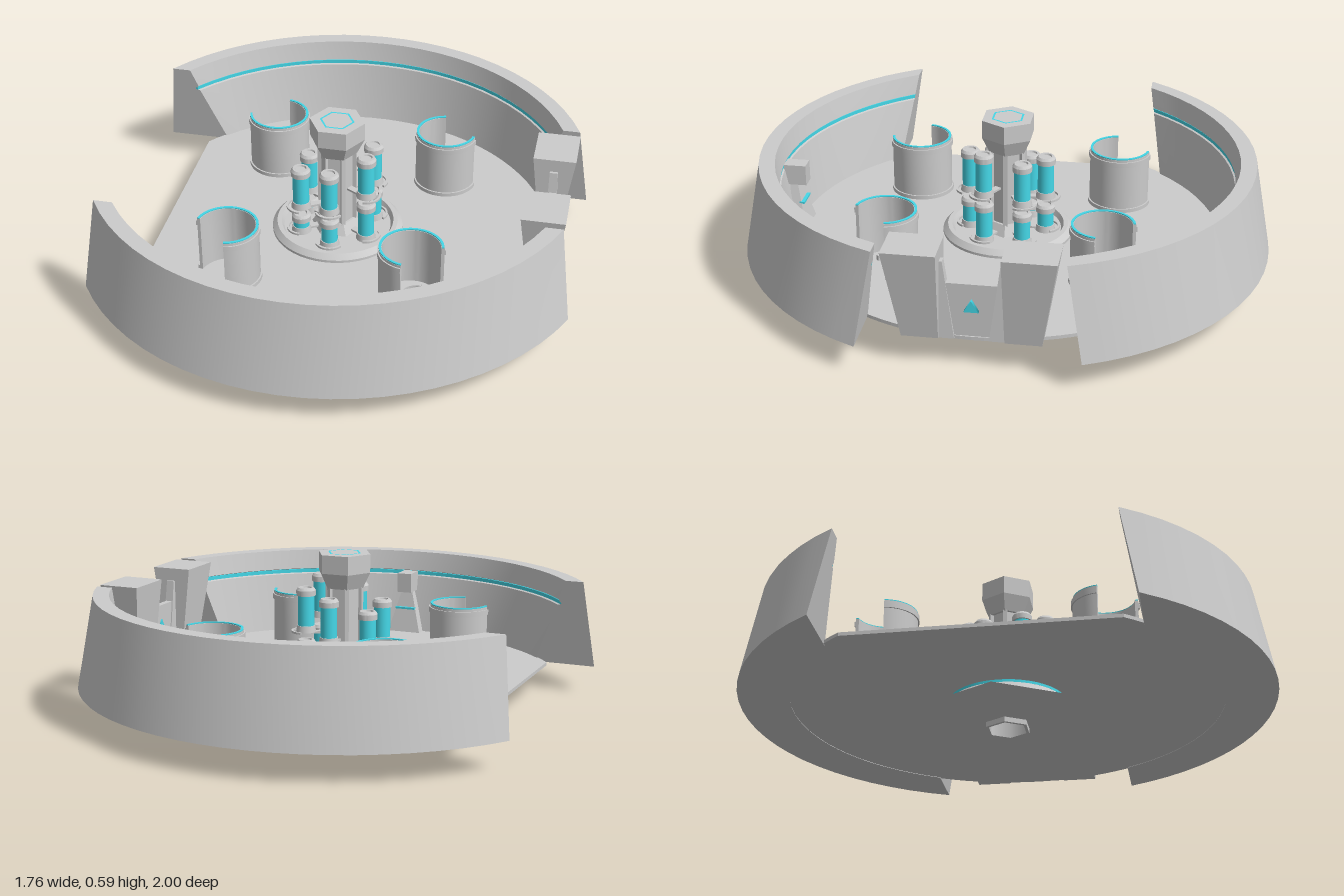
import * as THREE from 'three';
import { toCreasedNormals } from 'three/addons/utils/BufferGeometryUtils.js';

const CX = -0.05; // axis of the round platform
const FLOOR = 0.12;
const grey = new THREE.MeshStandardMaterial({ color: 0xcccccc, side: THREE.DoubleSide });
const flat = new THREE.MeshStandardMaterial({ color: 0xcccccc, flatShading: true });
const cyan = new THREE.MeshStandardMaterial({ color: 0x45d8e8 });

function add(parent, name, geometry, material, x = 0, y = 0, z = 0) {
  const mesh = new THREE.Mesh(geometry, material);
  mesh.name = name;
  mesh.position.set(x, y, z);
  parent.add(mesh);
  return mesh;
}

const lathe = (points, n = 48) =>
  toCreasedNormals(new THREE.LatheGeometry(points.map(p => new THREE.Vector2(...p)), n), 0.5);

// Hexagonal prism with corners on the x axis, standing on y0
function hex(rTop, rBottom, y0, y1, open = false) {
  return new THREE.CylinderGeometry(rTop, rBottom, y1 - y0, 6, 1, open)
    .rotateY(Math.PI / 6).translate(0, (y0 + y1) / 2, 0);
}

// Curved wall: annular sector raised to height h
function arcWall(r0, r1, a0, a1, h) {
  const s = new THREE.Shape();
  s.absarc(0, 0, r1, a0, a1, false);
  s.absarc(0, 0, r0, a1, a0, true);
  const g = new THREE.ExtrudeGeometry(s, { depth: h, bevelEnabled: false, curveSegments: 20 });
  return toCreasedNormals(g.rotateX(-Math.PI / 2), 0.6);
}

// Box tapered between a bottom and a top rectangle [x0, x1, z0, z1]
function taperedBox(bottom, top, y0, y1) {
  const g = new THREE.BoxGeometry(1, 1, 1);
  const p = g.attributes.position;
  for (let i = 0; i < p.count; i++) {
    const q = p.getY(i) > 0 ? top : bottom;
    p.setXYZ(i, p.getX(i) > 0 ? q[1] : q[0], p.getY(i) > 0 ? y1 : y0, p.getZ(i) > 0 ? q[3] : q[2]);
  }
  g.computeVertexNormals();
  return g;
}

// Sweep a closed (radius, y) profile round the rim; its ends lean with height.
// side is -1 for the back half and +1 for the front half.
function rimSweep(profile, side, segments = 24) {
  const at = (j, [r, y]) => {
    const lean = 0.06 * (y - 0.105) / 0.345;
    const a0 = Math.asin((0.39 - lean) / r);
    const a1 = Math.PI - Math.asin((0.55 - lean) / r);
    const a = a0 + (a1 - a0) * j / segments;
    return [CX + r * Math.cos(a), y, side * r * Math.sin(a)];
  };
  const verts = [];
  const tri = (a, b, c) => verts.push(...a, ...(side < 0 ? [...b, ...c] : [...c, ...b]));
  const n = profile.length;
  const mid = [0, 1].map(k => profile.reduce((s, p) => s + p[k] / n, 0));
  for (let i = 0; i < n; i++) {
    const p = profile[i], q = profile[(i + 1) % n];
    for (let j = 0; j < segments; j++) {
      tri(at(j, p), at(j + 1, p), at(j, q));
      tri(at(j + 1, p), at(j + 1, q), at(j, q));
    }
    tri(at(0, mid), at(0, p), at(0, q));
    tri(at(segments, mid), at(segments, q), at(segments, p));
  }
  const g = new THREE.BufferGeometry();
  g.setAttribute('position', new THREE.Float32BufferAttribute(verts, 3));
  return toCreasedNormals(g, 0.4);
}

function canister(name, top, length) {
  const g = new THREE.Group();
  g.name = name;
  add(g, 'canisterBody', new THREE.CylinderGeometry(0.031, 0.031, length - 0.04, 20), cyan, 0, top - length / 2);
  add(g, 'canisterCap', lathe([[0, 0], [0.037, 0], [0.037, 0.02], [0.03, 0.03], [0.022, 0.03], [0.02, 0.024], [0, 0.024]], 20), grey, 0, top - 0.03);
  add(g, 'canisterFoot', new THREE.CylinderGeometry(0.034, 0.038, 0.025, 20), grey, 0, top - length + 0.0125);
  return g;
}

export function createModel() {
  const model = new THREE.Group();

  // Floor disc with a straight edge on one side
  const disc = new THREE.Shape();
  const cut = Math.acos(-0.66 / 0.82);
  disc.absarc(CX, 0, 0.82, -cut, cut, false);
  add(model, 'floor', new THREE.ExtrudeGeometry(disc, { depth: 0.013, bevelEnabled: false, curveSegments: 48 })
    .rotateX(-Math.PI / 2), grey, 0, 0.107, 0);

  // Two curved walls with a glowing groove inside
  const wall = [[1, 0.105], [0.935, 0.45], [0.875, 0.45], [0.86, 0.372], [0.872, 0.368],
    [0.872, 0.354], [0.858, 0.35], [0.81, 0.105]];
  const strip = [[0.873, 0.354], [0.873, 0.368], [0.864, 0.368], [0.864, 0.354]];
  for (const side of [-1, 1]) {
    const label = side < 0 ? 'back' : 'front';
    add(model, label + 'Wall', rimSweep(wall, side), grey);
    add(model, label + 'LightStrip', rimSweep(strip, side), cyan);
  }

  // Pedestal under the floor
  const core = new THREE.Group();
  core.name = 'core';
  core.position.x = -0.055;
  model.add(core);
  add(core, 'pedestal', lathe([[0.085, 0.02], [0.265, 0.02], [0.22, 0.098], [0.2, 0.107]]), grey);
  add(core, 'pedestalLight', new THREE.CylinderGeometry(0.222, 0.222, 0.01, 48, 1, true), cyan, 0, 0.102);
  add(core, 'bottomPlate', new THREE.RingGeometry(0.08, 0.4, 6).rotateX(Math.PI / 2),
    new THREE.MeshStandardMaterial({ color: 0xcccccc }), 0, 0.019);
  add(core, 'socketOuter', hex(0.087, 0.087, 0, 0.03, true), flat);
  add(core, 'socketInner', hex(0.075, 0.075, 0, 0.1, true), grey);
  add(core, 'socketRim', new THREE.RingGeometry(0.075, 0.087, 6).rotateX(Math.PI / 2), grey);

  // Dish and central column
  add(core, 'dish', lathe([[0.25, 0.11], [0.25, 0.13], [0.232, 0.15], [0.215, 0.15], [0.205, 0.13], [0, 0.13]]), grey);
  add(core, 'columnFoot', hex(0.075, 0.1, 0.13, 0.17), flat);
  add(core, 'columnShaft', hex(0.065, 0.065, 0.13, 0.47), flat);
  add(core, 'columnNeck', hex(0.105, 0.076, 0.46, 0.52), flat);
  add(core, 'columnHead', hex(0.105, 0.105, 0.52, 0.59), flat);
  add(core, 'headLight', new THREE.RingGeometry(0.058, 0.066, 6).rotateX(-Math.PI / 2), cyan, 0, 0.591);

  // Canisters in two tiers, their tops stepping round the column
  const tops = [0.49, 0.45, 0.41, 0.39, 0.44, 0.46];
  tops.forEach((top, i) => {
    const a = Math.PI / 6 + i * Math.PI / 3;
    const bay = new THREE.Group();
    bay.name = 'canisterBay';
    bay.rotation.y = -a;
    core.add(bay);
    const upper = canister('upperCanister', top, 0.17);
    const lower = canister('lowerCanister', top - 0.2, top - 0.33);
    for (const c of [upper, lower]) {
      c.position.x = 0.145;
      bay.add(c);
    }
    for (const y of [top - 0.172, 0.14]) {
      add(bay, 'canisterBracket', arcWall(0.048, 0.056, -1.1, 1.1, 0.008), grey, 0.145, y);
      add(bay, 'bracketArm', new THREE.BoxGeometry(0.09, 0.008, 0.025), grey, 0.105, y);
    }
    const rib = add(core, 'columnRib', new THREE.BoxGeometry(0.016, 0.33, 0.016), grey,
      0.066 * Math.cos(a + Math.PI / 6), 0.3, 0.066 * Math.sin(a + Math.PI / 6));
    rib.rotation.y = -a - Math.PI / 6;
  });

  // Four open tanks facing outward
  for (const sx of [-1, 1]) for (const sz of [-1, 1]) {
    const tank = new THREE.Group();
    tank.name = 'tank';
    tank.position.set(-0.04 + sx * 0.34, FLOOR, sz * 0.4);
    model.add(tank);
    const out = Math.atan2(-sz, sx);
    const a0 = out + 0.95, a1 = out + 2 * Math.PI - 0.95;
    add(tank, 'tankShell', arcWall(0.106, 0.118, a0, a1, 0.225), grey);
    add(tank, 'tankLight', arcWall(0.108, 0.117, a0, a1, 0.004), cyan, 0, 0.225);
    add(tank, 'tankTopBand', arcWall(0.112, 0.123, a0, a1, 0.02), grey, 0, 0.195);
    add(tank, 'tankFootBand', arcWall(0.112, 0.124, a0, a1, 0.015), grey);
    if (sx > 0 && sz > 0) add(tank, 'tankLiner', arcWall(0.053, 0.068, 1.4, 3.9, 0.02), grey, 0.02);
  }

  // Gate: two flared posts joined by a low panel with a marker
  for (const s of [-1, 1]) {
    const span = (inner, outer) => (s > 0 ? [inner, outer] : [-outer, -inner]);
    add(model, 'gatePost', taperedBox([0.71, 0.78, ...span(0.115, 0.245)], [0.67, 0.83, ...span(0.11, 0.3)], 0.11, 0.45), flat);
    add(model, 'gateBrace', taperedBox([0.735, 0.775, ...span(0.06, 0.12)], [0.735, 0.765, ...span(0.1, 0.12)], 0.11, 0.4), flat);
  }
  add(model, 'gatePanel', new THREE.BoxGeometry(0.025, 0.21, 0.23), grey, 0.752, 0.215);
  const marker = new THREE.CylinderGeometry(0.03, 0.03, 0.045, 3).rotateX(-Math.PI / 2).rotateY(Math.PI / 2);
  add(model, 'gateMarker', marker, cyan, 0.757, 0.235);

  // Stand against the front wall
  add(model, 'standStem', taperedBox([-0.07, 0.07, 0.77, 0.82], [-0.02, 0.02, 0.81, 0.84], FLOOR, 0.3), flat);
  add(model, 'standHead', new THREE.BoxGeometry(0.06, 0.08, 0.085), grey, 0, 0.33, 0.815);
  add(model, 'standLight', new THREE.BoxGeometry(0.085, 0.008, 0.02), cyan, 0, 0.22, 0.79);

  return model;
}
